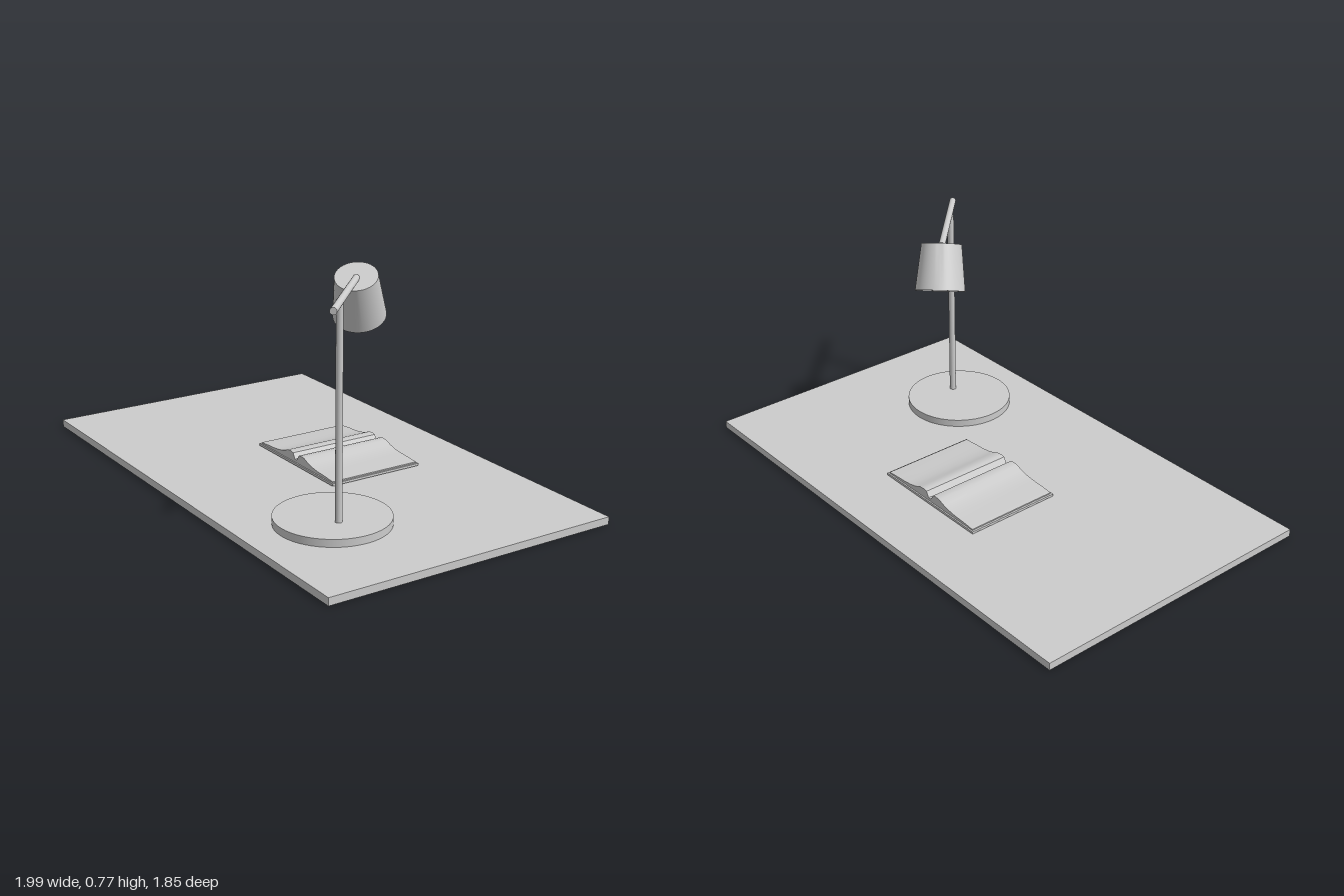
import * as THREE from 'three';
import { toCreasedNormals } from 'three/addons/utils/BufferGeometryUtils.js';

const material = new THREE.MeshStandardMaterial({ color: 0xcccccc });

function add(parent, name, geometry, x = 0, y = 0, z = 0) {
  const mesh = new THREE.Mesh(geometry, material);
  mesh.name = name;
  mesh.position.set(x, y, z);
  parent.add(mesh);
  return mesh;
}

function addGroup(parent, name, x, y, z, yaw) {
  const group = new THREE.Group();
  group.name = name;
  group.position.set(x, y, z);
  group.rotation.y = yaw;
  parent.add(group);
  return group;
}

function createBook(parent) {
  const book = addGroup(parent, 'openBook', 0.0515, 0, -0.1, -0.638);
  add(book, 'cover', new THREE.BoxGeometry(0.45, 0.008, 0.34), 0, 0.032, 0);

  // Half profile of the page block, from the gutter to the outer edge
  const half = [[0.006, 0.046], [0.017, 0.065], [0.03, 0.068], [0.05, 0.066],
    [0.075, 0.056], [0.1, 0.05], [0.13, 0.046], [0.17, 0.044], [0.218, 0.04]];
  const shape = new THREE.Shape();
  shape.moveTo(-0.218, 0.035);
  shape.lineTo(0.218, 0.035);
  for (const [u, y] of [...half].reverse()) shape.lineTo(u, y);
  for (const [u, y] of half) shape.lineTo(-u, y);
  const pages = new THREE.ExtrudeGeometry(shape, { depth: 0.33, bevelEnabled: false });
  pages.translate(0, 0, -0.165);
  add(book, 'pages', toCreasedNormals(pages, 0.6));
}

function createLamp(parent) {
  const lamp = addGroup(parent, 'deskLamp', 0, 0, 0, 0);
  add(lamp, 'lampBase', new THREE.CylinderGeometry(0.183, 0.183, 0.025, 64), 0.228, 0.0385, 0.441);
  add(lamp, 'pole', new THREE.CylinderGeometry(0.011, 0.011, 0.685, 24), 0.263, 0.388, 0.485);

  // Arm and head share the same heading
  const head = addGroup(lamp, 'lampHead', 0.225, 0.732, 0.23, 0.167);
  const arm = add(head, 'arm', new THREE.CylinderGeometry(0.011, 0.011, 0.39, 24), 0, 0, 0.196);
  arm.rotation.x = Math.PI / 2;

  const tilted = addGroup(head, 'shadeAssembly', 0, 0.005, 0, 0);
  tilted.rotation.x = 0.47;

  // Hollow tapered shade: inner ceiling, inner wall, rim, outer wall, cap
  const profile = [[0, -0.008], [0.06, -0.008], [0.076, -0.154], [0.083, -0.154], [0.067, 0], [0, 0]]
    .map(([r, y]) => new THREE.Vector2(r, y));
  add(tilted, 'shade', toCreasedNormals(new THREE.LatheGeometry(profile, 48), 0.6));

  // Bulb and its socket
  add(tilted, 'bulbSocket', new THREE.CylinderGeometry(0.013, 0.013, 0.07, 24), 0, -0.043, 0);
  add(tilted, 'bulb', new THREE.SphereGeometry(0.024, 24, 16), 0, -0.09, 0);
}

export function createModel() {
  const model = new THREE.Group();
  model.name = 'deskScene';

  const top = add(model, 'tableTop', new THREE.BoxGeometry(1.727, 0.025, 1.02), 0, 0.0125, 0);
  top.rotation.y = -0.638;

  createBook(model);
  createLamp(model);
  return model;
}
